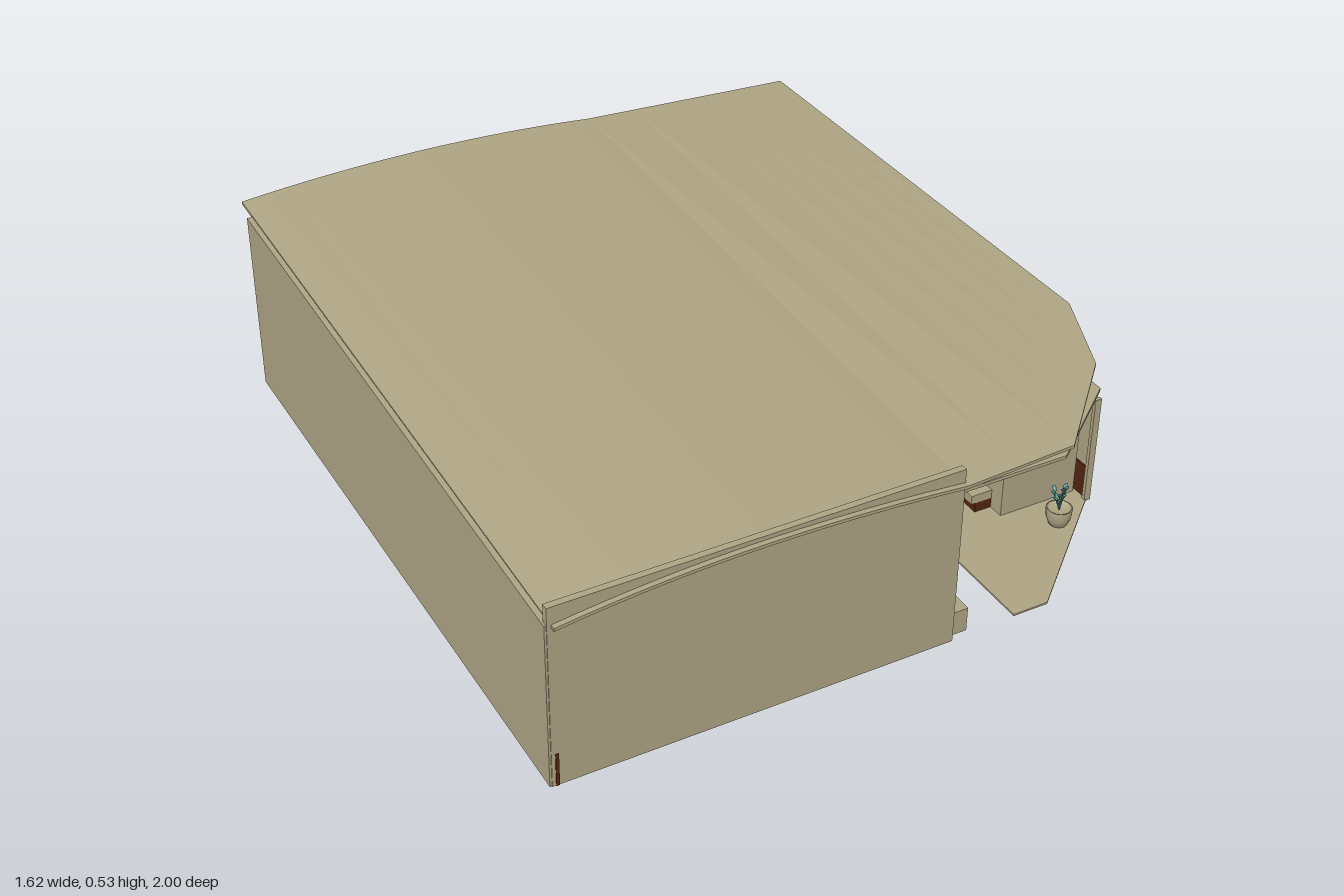
import * as THREE from 'three';

const mat = (name, color) => {
  const m = new THREE.MeshStandardMaterial({ color, side: THREE.DoubleSide });
  m.name = name;
  return m;
};

export function createModel() {
  const root = new THREE.Group();
  root.name = 'poolHouse';
  const stone = mat('stone', 0xada383);
  const timber = mat('darkTimber', 0x52240f);
  const teal = mat('teal', 0x559a93);

  const add = (name, geo, m, x = 0, y = 0, z = 0, parent = root) => {
    const mesh = new THREE.Mesh(geo, m);
    mesh.name = name;
    mesh.position.set(x, y, z);
    parent.add(mesh);
    return mesh;
  };
  // box from its limits on each axis
  const box = (name, m, x0, x1, y0, y1, z0, z1) =>
    add(name, new THREE.BoxGeometry(x1 - x0, y1 - y0, z1 - z0), m, (x0 + x1) / 2, (y0 + y1) / 2, (z0 + z1) / 2);
  const rod = (name, m, r, x, y0, y1, z) =>
    add(name, new THREE.CylinderGeometry(r, r, y1 - y0, 10), m, x, (y0 + y1) / 2, z);
  // flat slab from an outline in x and z
  const slab = (name, m, pts, y, h) => {
    const shape = new THREE.Shape(pts.map(([x, z]) => new THREE.Vector2(x, -z)));
    const g = new THREE.ExtrudeGeometry(shape, { depth: h, bevelEnabled: false });
    return add(name, g.rotateX(-Math.PI / 2), m, 0, y, 0);
  };

  // Main roof: ruled between an arched back edge and a lower front edge, corner cut off
  const lerp = THREE.MathUtils.lerp;
  const edge = (x, l, peak, r, end) => {
    if (x > 0.2) return lerp(r, end, (x - 0.2) / 0.61);
    const t = (x + 0.3) / 0.5;
    return peak - (peak - (t < 0 ? l : r)) * t * t;
  };
  const roofY = (x, z) =>
    lerp(edge(x, 0.505, 0.53, 0.505, 0.479), edge(x, 0.435, 0.47, 0.445, 0.479), (z + 0.85) / 1.85);
  const roofFront = x => x < 0.48 ? 1 : x < 0.71 ? lerp(1, 0.77, (x - 0.48) / 0.23) : lerp(0.77, 0.53, (x - 0.71) / 0.1);
  const xs = [];
  for (let i = 0; i <= 16; i++) xs.push(-0.8 + i * 0.0625);
  xs.push(0.34, 0.48, 0.56, 0.64, 0.71, 0.76, 0.81);
  const sections = xs.map(x => {
    const zf = roofFront(x), b = roofY(x, -0.85), f = roofY(x, zf), t = 0.008;
    return [[x, b, -0.85], [x, f, zf], [x, f - t, zf], [x, b - t, -0.85]];
  });
  const pos = [];
  const quad = (a, b, c, d) => pos.push(...a, ...b, ...c, ...a, ...c, ...d);
  for (let i = 0; i < sections.length - 1; i++) {
    const p = sections[i], q = sections[i + 1];
    for (let k = 0; k < 4; k++) quad(p[k], p[(k + 1) % 4], q[(k + 1) % 4], q[k]);
  }
  quad(...[...sections[0]].reverse());
  quad(...sections[sections.length - 1]);
  const roofGeo = new THREE.BufferGeometry();
  roofGeo.setAttribute('position', new THREE.Float32BufferAttribute(pos, 3));
  roofGeo.computeVertexNormals();
  add('mainRoof', roofGeo, stone);
  box('ceilingTrack', stone, -0.77, 0.18, 0.477, 0.483, -0.72, -0.71);

  // Front wall and side wall with a sloping top
  box('frontWall', stone, -0.81, 0.2, 0, 0.481, 0.97, 0.987);
  const side = new THREE.Shape([[-0.985, 0], [0.77, 0], [0.77, 0.5], [-0.985, 0.435]].map(p => new THREE.Vector2(...p)));
  const sideGeo = new THREE.ExtrudeGeometry(side, { depth: 0.014, bevelEnabled: false });
  add('sideWall', sideGeo.rotateY(Math.PI / 2), stone, -0.815, 0, 0);
  box('sideWallSkirting', timber, -0.801, -0.793, 0, 0.088, -0.77, 0.989);

  // Pool, decks and walkway
  const water = new THREE.PlaneGeometry(0.885, 1.45).rotateX(-Math.PI / 2);
  add('poolWater', water, teal, -0.35, 0.06, 0.005);
  box('frontDeck', stone, -0.793, 0.25, 0, 0.065, 0.73, 0.97);
  box('poolsideWalkway', stone, 0.09, 0.31, 0, 0.065, -0.76, 0.73);
  box('walkwayBay', stone, 0.31, 0.375, 0, 0.065, -0.05, 0.73);
  box('walkwayEnd', stone, 0.195, 0.307, 0, 0.065, -1, -0.76);

  // Slender handrail along the walkway
  for (let i = 0; i < 5; i++) rod('railPost', stone, 0.003, 0.26, 0.06, 0.14, -0.73 + i * 0.365);
  const rail = rod('handrail', stone, 0.003, 0.26, -0.73, 0.73, 0);
  rail.rotation.x = Math.PI / 2;
  rail.position.y = 0.14;

  // Side pavilion: floor, canopy and beam
  slab('pavilionFloor', stone, [[0.375, -0.71], [0.81, -0.71], [0.81, 0.68], [0.47, 0.98], [0.375, 0.98]], 0, 0.005);
  slab('canopy', stone, [[0.165, -0.71], [0.81, -0.71], [0.81, 0.68], [0.57, 0.87], [0.165, 0.87]], 0.312, 0.009);
  box('canopyBeam', timber, 0.148, 0.165, 0.302, 0.318, -0.71, 0.89);
  box('pavilionFrontWall', stone, 0.567, 0.785, 0, 0.312, 0.64, 0.652);
  box('pavilionInnerWall', stone, 0.567, 0.577, 0, 0.312, -0.3, 0.64);

  // Window wall: six bays of panels between posts
  const step = 1.36 / 6;
  for (let i = 0; i <= 6; i++) {
    const z = -0.67 + i * step;
    box('windowPost', stone, 0.788, 0.806, 0, 0.3, z - 0.005, z + 0.005);
    if (i === 6) break;
    box('lowerPanel', timber, 0.794, 0.802, 0, 0.093, z + 0.005, z + step - 0.005);
    box('upperPanel', stone, 0.794, 0.802, 0.096, 0.287, z + 0.005, z + step - 0.005);
  }
  box('windowHeadRail', stone, 0.786, 0.806, 0.287, 0.297, -0.675, 0.695);

  // Canopy posts, one carrying a lantern
  rod('canopyPost', stone, 0.006, 0.325, 0, 0.312, -0.735);
  rod('postLantern', stone, 0.011, 0.325, 0.205, 0.242, -0.735);
  rod('beamPost', stone, 0.005, 0.18, 0.06, 0.312, -0.43);

  // Pendant lamps over the pool
  for (const z of [0.64, 0.07, -0.5]) {
    rod('pendantCord', stone, 0.002, -0.31, 0.34, roofY(-0.31, z) - 0.004, z);
    add('pendantShade', new THREE.CylinderGeometry(0.012, 0.021, 0.024, 16), stone, -0.31, 0.332, z);
  }

  // Bench and side table
  box('benchBase', timber, 0.52, 0.567, -0.001, 0.032, 0.27, 0.61);
  box('benchCushion', stone, 0.508, 0.567, 0.032, 0.056, 0.27, 0.61);
  rod('tableStem', stone, 0.004, 0.48, 0, 0.05, 0.44);
  rod('tableTop', stone, 0.024, 0.48, 0.047, 0.053, 0.44);
  rod('tableFoot', stone, 0.013, 0.48, 0.004, 0.009, 0.44);

  // Potted plant
  const plant = new THREE.Group();
  plant.name = 'pottedPlant';
  plant.position.set(0.675, 0, 0.74);
  root.add(plant);
  const profile = [[0, 0.003], [0.022, 0.003], [0.031, 0.025], [0.033, 0.05], [0.028, 0.05], [0.026, 0.043], [0, 0.043]];
  add('pot', new THREE.LatheGeometry(profile.map(p => new THREE.Vector2(...p)), 20), stone, 0, 0, 0, plant);
  for (let i = 0; i < 7; i++) {
    const a = i * 2.4, lean = 0.012 + 0.018 * (i % 3) / 2, top = 0.115 - 0.012 * (i % 3);
    const tip = new THREE.Vector3(Math.cos(a) * lean, top, Math.sin(a) * lean);
    const stem = new THREE.LineCurve3(new THREE.Vector3(0, 0.043, 0), tip);
    add('stem', new THREE.TubeGeometry(stem, 1, 0.0015, 5), teal, 0, 0, 0, plant);
    for (const t of [0.6, 0.95]) {
      const p = stem.getPoint(t);
      const leaf = add('leaf', new THREE.SphereGeometry(0.009, 8, 6), teal, p.x, p.y, p.z, plant);
      leaf.scale.set(1, 0.35, 0.6);
      leaf.rotation.set(0, -a, 0.7);
    }
  }
  return root;
}
